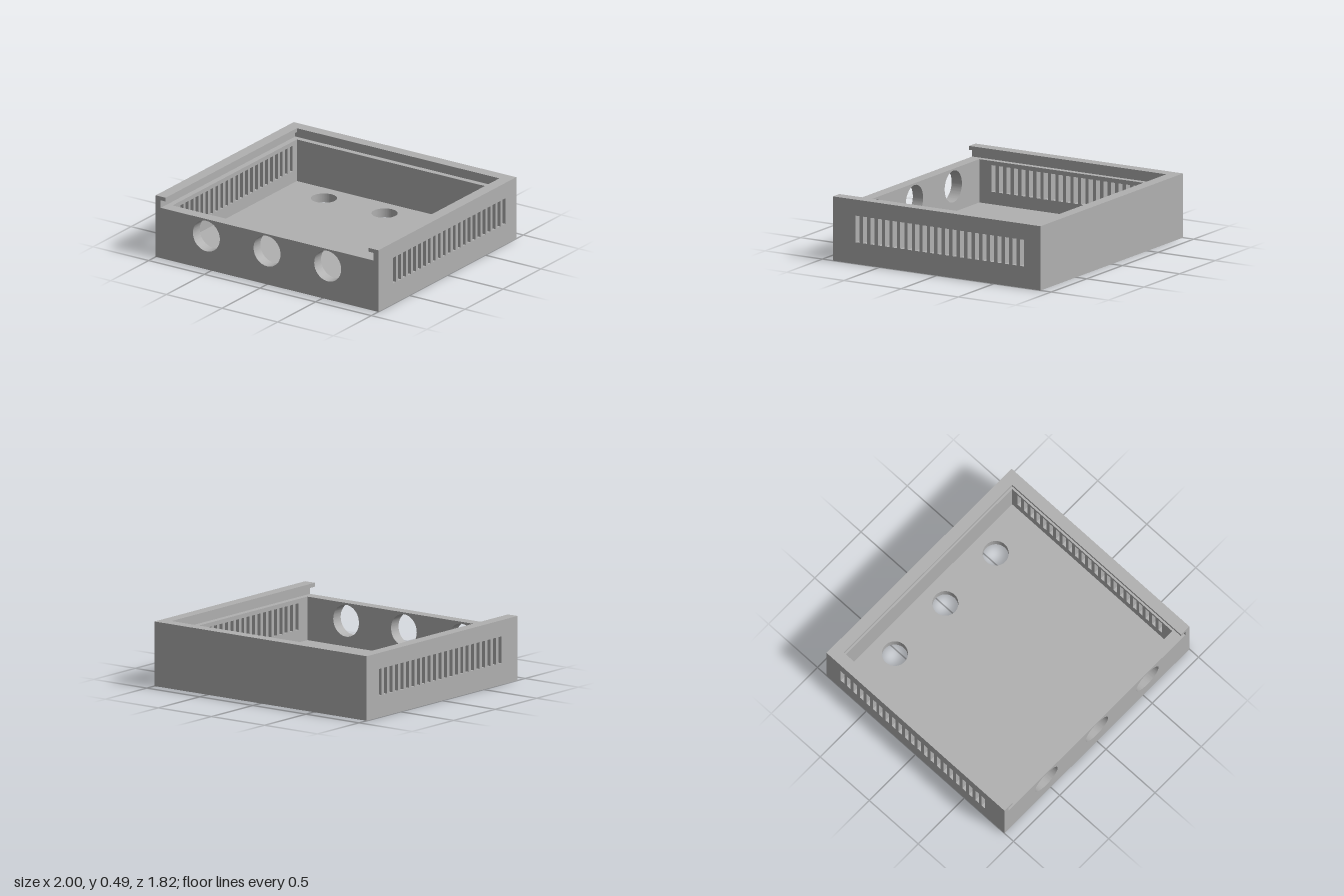
import * as THREE from 'three';
import { toCreasedNormals } from 'three/addons/utils/BufferGeometryUtils.js';

const W = 1, D = 0.9075;            // half width and half depth
const WALL = 0.09, GROOVE = 0.045;  // wall thickness, lid groove depth
const FLOOR = 0.07, RECESS = 0.03;  // floor thickness, blind hole depth
const RIM = 0.4, LIP = 0.46, TOP = 0.49;

const rect = (cls, x0, y0, x1, y1) =>
  new cls([[x0, y0], [x1, y0], [x1, y1], [x0, y1]].map(p => new THREE.Vector2(...p)));
const circle = (x, y, r) => new THREE.Path().absarc(x, y, r, 0, Math.PI * 2, true);

function extrude(shape, holes, depth) {
  shape.holes.push(...holes);
  const g = new THREE.ExtrudeGeometry(shape, { depth, bevelEnabled: false, curveSegments: 48 });
  return toCreasedNormals(g, 0.5);
}

export function createModel() {
  const group = new THREE.Group();
  const grey = new THREE.MeshStandardMaterial({ color: 0xb0b0b0 });
  grey.name = 'plain grey';
  const add = (name, geometry) => {
    const mesh = new THREE.Mesh(geometry, grey);
    mesh.name = name;
    group.add(mesh);
    return mesh;
  };
  // Horizontal slab from a plan shape drawn in (x, -z)
  const slab = (name, shape, holes, y0, y1) =>
    add(name, extrude(shape, holes, y1 - y0).rotateX(-Math.PI / 2).translate(0, y0, 0));

  // Floor: three through holes at the back, two blind recesses underneath at the front
  const through = () => [-0.545, 0, 0.545].map(x => circle(x, 0.64, 0.097));
  const blind = [-0.7, 0.7].map(x => circle(x, -0.54, 0.097));
  slab('floorUnderside', rect(THREE.Shape, -W, -D, W, D), [...through(), ...blind], 0, RECESS);
  slab('floor', rect(THREE.Shape, -W, -D, W, D), through(), RECESS, FLOOR);

  // Side walls with a row of ventilation slots
  for (const side of [-1, 1]) {
    const slots = [];
    for (let i = 0; i < 23; i++) {
      const u = -0.694 + i * 0.0654;
      slots.push(rect(THREE.Path, u - 0.018, 0.165, u + 0.018, 0.368));
    }
    const g = extrude(rect(THREE.Shape, -D, FLOOR, D, RIM), slots, WALL).rotateY(Math.PI / 2);
    g.translate(side > 0 ? W - WALL : -W, 0, 0);
    add(side > 0 ? 'leftWall' : 'rightWall', g);
  }

  // Back wall, and front wall with three round openings
  const inner = W - WALL;
  const endWall = holes => extrude(rect(THREE.Shape, -inner, FLOOR, inner, RIM), holes, WALL);
  add('backWall', endWall([]).translate(0, 0, -D));
  add('frontWall', endWall([-0.545, 0, 0.545].map(x => circle(x, 0.265, 0.121)))
    .translate(0, 0, D - WALL));

  // U-shaped rails, open at the front, that form the sliding lid groove
  const rail = (name, t, y0, y1) => {
    const pts = [[-W, -D], [-W + t, -D], [-W + t, D - t], [W - t, D - t],
      [W - t, -D], [W, -D], [W, D], [-W, D]];
    slab(name, new THREE.Shape(pts.map(p => new THREE.Vector2(...p))), [], y0, y1);
  };
  rail('lidGroove', GROOVE, RIM, LIP);
  rail('lidLip', WALL, LIP, TOP);

  return group;
}
